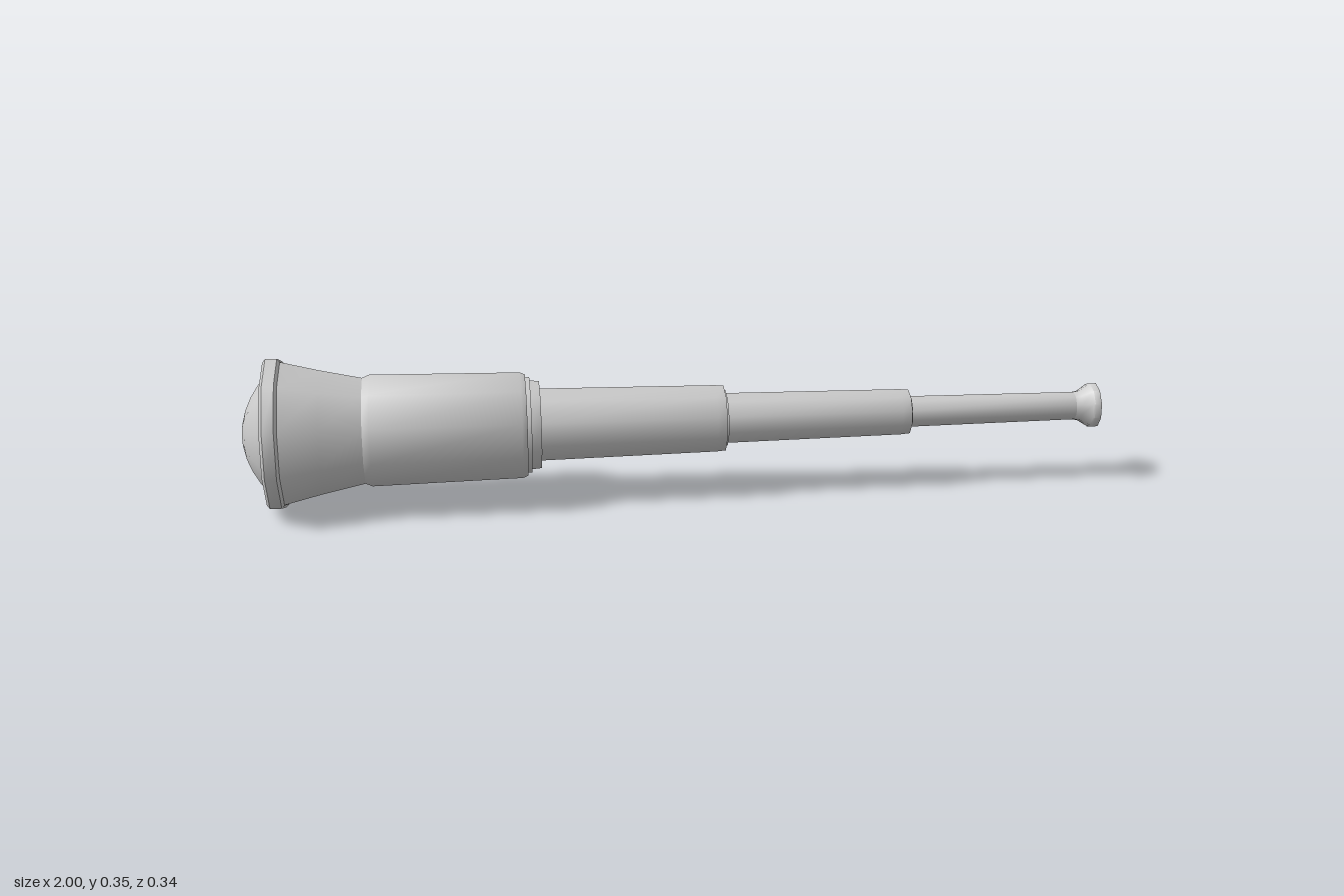
import * as THREE from 'three';
import { toCreasedNormals } from 'three/addons/utils/BufferGeometryUtils.js';

const AXIS_HEIGHT = 0.178;
const SIDES = 10;

export function createModel() {
  const model = new THREE.Group();
  model.name = 'telescope';
  const material = new THREE.MeshStandardMaterial({ color: 0xcccccc });

  // Turns a profile of [x along the tube, radius] into a ten-sided part
  function turned(name, profile) {
    const points = profile.map(([x, r]) => new THREE.Vector2(r, x));
    const lathe = new THREE.LatheGeometry(points, SIDES, Math.PI / 2);
    const geometry = toCreasedNormals(lathe, 0.8);
    geometry.rotateZ(-Math.PI / 2);
    geometry.translate(0, AXIS_HEIGHT, 0);
    const mesh = new THREE.Mesh(geometry, material);
    mesh.name = name;
    model.add(mesh);
  }

  // Domed front lens
  const dome = [];
  for (let i = 0; i <= 5; i++) {
    const t = i / 5;
    dome.push([-1 + 0.065 * t * t, 0.145 * t]);
  }
  turned('lens', dome);

  // Flared hood with a raised rim around the lens
  turned('hoodRim', [
    [-0.935, 0.135], [-0.945, 0.145], [-0.945, 0.168], [-0.938, 0.177],
    [-0.912, 0.177], [-0.906, 0.17], [-0.906, 0.1],
  ]);
  turned('hood', [[-0.91, 0.17], [-0.82, 0.147], [-0.73, 0.127], [-0.7, 0.12]]);

  // Main barrel and its stepped end collar
  turned('mainBarrel', [
    [-0.735, 0.11], [-0.735, 0.122], [-0.71, 0.133], [-0.37, 0.127],
    [-0.358, 0.122], [-0.358, 0.08],
  ]);
  turned('mainCollar', [
    [-0.36, 0.115], [-0.348, 0.115], [-0.348, 0.107],
    [-0.326, 0.105], [-0.326, 0.07],
  ]);

  // Sliding draw tubes, each ending in a narrower collar
  const tubes = [
    { start: -0.335, end: 0.08, r0: 0.087, r1: 0.081, collar: 0.068, tip: 0.107 },
    { start: 0.1, end: 0.52, r0: 0.061, r1: 0.056, collar: 0.046, tip: 0.545 },
  ];
  tubes.forEach(({ start, end, r0, r1, collar, tip }, i) => {
    turned(`drawTube${i + 1}`, [
      [start, 0], [start, r0], [end, r1], [end + 0.022, r1 - 0.002],
      [end + 0.022, collar], [tip, collar], [tip, 0],
    ]);
  });

  // Thin rear tube
  turned('eyeTube', [[0.53, 0], [0.53, 0.038], [0.97, 0.034], [0.97, 0]]);

  // Flared eyepiece with a shallow recess
  turned('eyepiece', [
    [0.945, 0.034], [0.96, 0.037], [0.982, 0.051], [0.985, 0.054],
    [1, 0.054], [1, 0.036], [0.99, 0.034], [0.99, 0],
  ]);

  return model;
}
